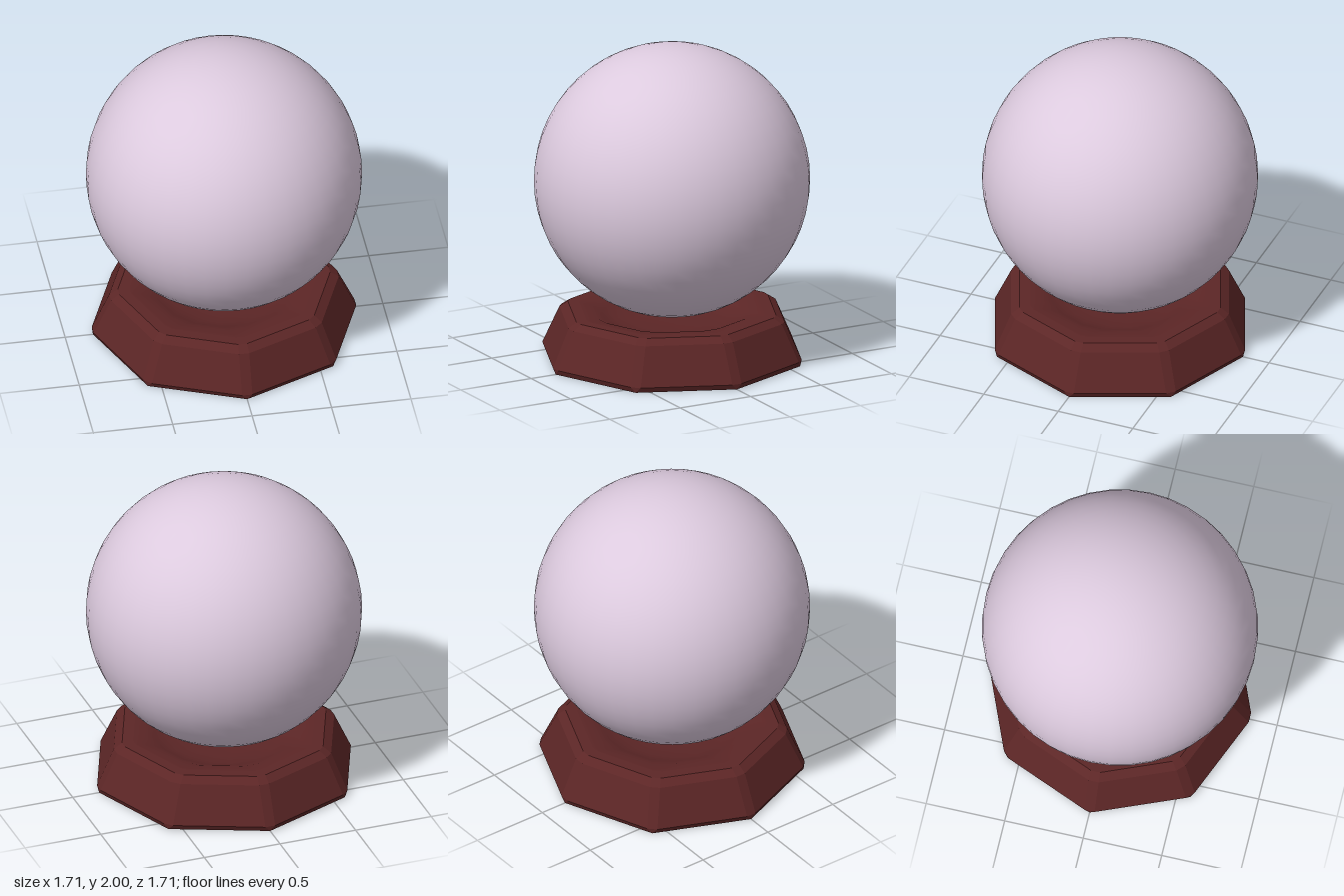
import * as THREE from 'three';

const glassMat = new THREE.MeshStandardMaterial({ color: 0xdccade });
glassMat.name = 'pale lilac glass';
const woodMat = new THREE.MeshStandardMaterial({ color: 0x5c2626 });
woodMat.name = 'dark red wood';

// Octagon ring with its corners on the axes; each corner is cut back by c along both edges
function octagonRing(radius, y, c) {
  const corner = k => new THREE.Vector3(
    radius * Math.cos(k * Math.PI / 4), y, -radius * Math.sin(k * Math.PI / 4));
  const pts = [];
  for (let k = 0; k < 8; k++) {
    for (const side of [-1, 1]) {
      const dir = corner(k + side).sub(corner(k));
      if (radius > 0) dir.setLength(c);
      pts.push(corner(k).add(dir));
    }
  }
  return pts;
}

// Skin between stacked rings, given as [radius, y, corner cut]
function loft(profile, smooth) {
  const rings = profile.map(p => octagonRing(...p));
  const n = rings[0].length;
  const pos = rings.flat().flatMap(p => [p.x, p.y, p.z]);
  const index = [];
  for (let r = 0; r < rings.length - 1; r++) {
    for (let i = 0; i < n; i++) {
      const a = r * n + i, b = r * n + (i + 1) % n;
      index.push(a, b, b + n, a, b + n, a + n);
    }
  }
  let geo = new THREE.BufferGeometry();
  geo.setAttribute('position', new THREE.Float32BufferAttribute(pos, 3));
  geo.setIndex(index);
  if (!smooth) geo = geo.toNonIndexed();
  geo.computeVertexNormals();
  return geo;
}

export function createModel() {
  const model = new THREE.Group();
  model.name = 'crystalBall';

  const add = (name, geo, mat) => {
    const mesh = new THREE.Mesh(geo, mat);
    mesh.name = name;
    model.add(mesh);
    return mesh;
  };

  // Ball
  add('ball', new THREE.SphereGeometry(0.857, 40, 28), glassMat).position.y = 1.143;

  // Stand: flat underside, thin foot, sloping sides, bevelled shoulder and rim
  add('stand', loft([
    [0, 0, 0],
    [0.825, 0, 0],
    [0.84, 0.033, 0.035],
    [0.73, 0.272, 0.035],
    [0.675, 0.308, 0.03],
    [0.6, 0.308, 0.03],
  ], false), woodMat);

  // Shallow hollow that holds the ball
  add('hollow', loft([
    [0.6, 0.308, 0.03],
    [0.52, 0.3, 0.06],
    [0.46, 0.275, 0.08],
    [0.38, 0.245, 0.09],
    [0.25, 0.235, 0.06],
    [0, 0.235, 0],
  ], true), woodMat);

  return model;
}
